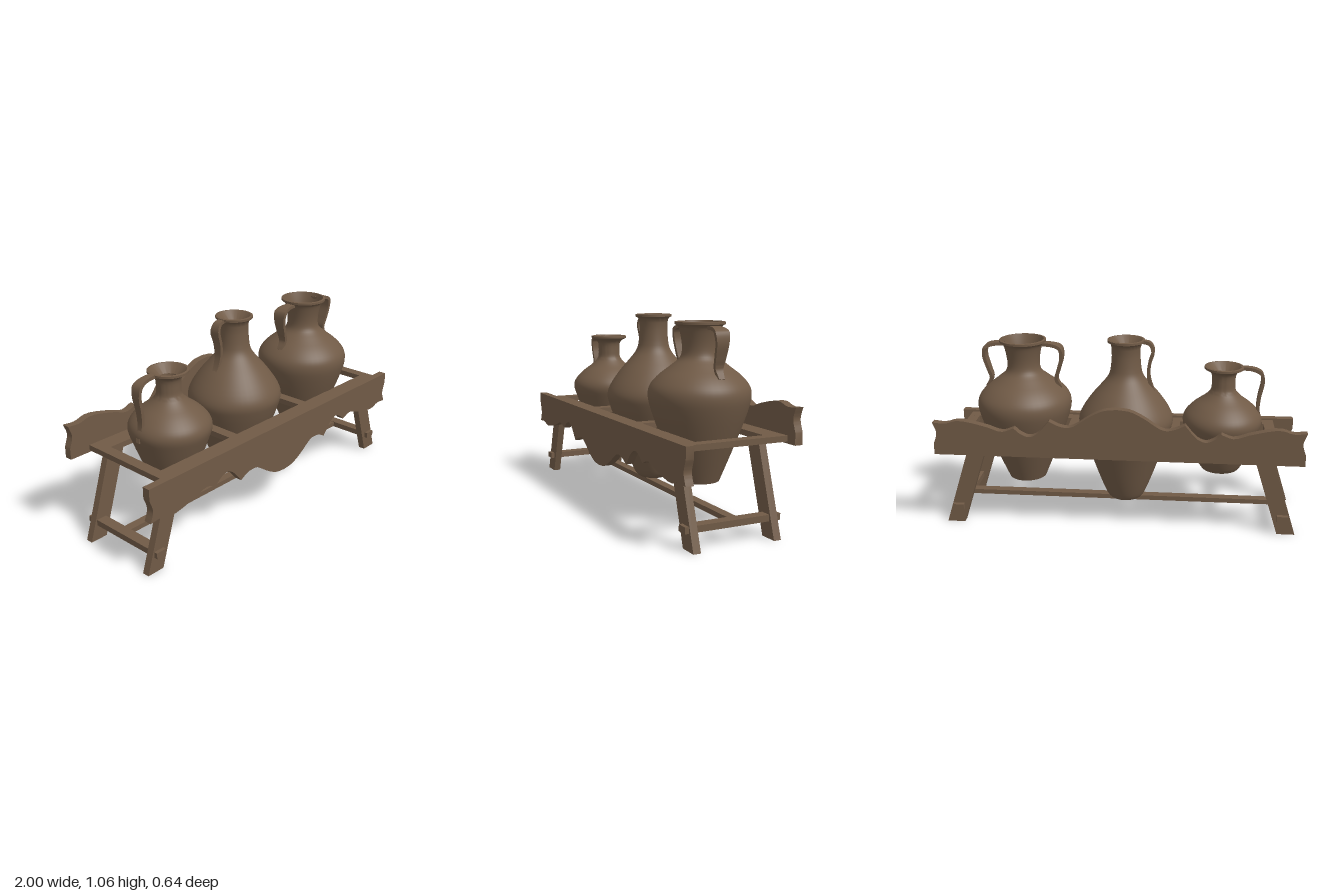
import * as THREE from 'three';
import { toCreasedNormals } from 'three/addons/utils/BufferGeometryUtils.js';

const brown = new THREE.MeshStandardMaterial({ color: 0x705a46 });
brown.name = 'earth brown';

function add(group, name, geometry) {
  const mesh = new THREE.Mesh(geometry, brown);
  mesh.name = name;
  group.add(mesh);
  return mesh;
}

// Box given by its limits on each axis
function bar(group, name, x0, x1, y0, y1, z0, z1) {
  const g = new THREE.BoxGeometry(x1 - x0, y1 - y0, z1 - z0);
  g.translate((x0 + x1) / 2, (y0 + y1) / 2, (z0 + z1) / 2);
  add(group, name, g);
}

// Smooth curve through [x, y] points
function curveThrough(points) {
  return new THREE.CatmullRomCurve3(points.map(([x, y]) => new THREE.Vector3(x, y, 0)));
}

function smooth(points, n) {
  return curveThrough(points).getPoints(n).map(p => new THREE.Vector2(p.x, p.y));
}

// Board with a straight top, scalloped ends and a scalloped lower edge
function boardGeometry() {
  const belly = [[0, 0.223], [0.07, 0.232], [0.14, 0.265], [0.25, 0.332], [0.31, 0.325], [0.363, 0.3]];
  const arch = [[0.363, 0.3], [0.43, 0.375], [0.475, 0.392], [0.52, 0.375], [0.555, 0.345]];
  const wave = [[0.555, 0.345], [0.62, 0.367], [0.71, 0.34], [0.86, 0.312], [0.93, 0.33], [1, 0.325]];
  const end = [[1, 0.325], [0.981, 0.385], [1, 0.45]];
  const right = [belly, arch, wave, end].flatMap(run => smooth(run, 16).slice(0, -1));
  right.push(new THREE.Vector2(1, 0.45), new THREE.Vector2(1, 0.51));
  const left = right.slice(1).reverse().map(p => new THREE.Vector2(-p.x, p.y));
  const g = new THREE.ExtrudeGeometry(new THREE.Shape([...right, ...left]), { depth: 0.043, bevelEnabled: false });
  g.translate(0, 0, 0.276);
  return toCreasedNormals(g, 0.5);
}

// Leg leaning inwards; side is +1 or -1
function leg(group, side, z0, z1) {
  const g = new THREE.BoxGeometry(0.1, 0.47, z1 - z0);
  g.translate(0, 0.235, (z0 + z1) / 2);
  const p = g.attributes.position;
  for (let i = 0; i < p.count; i++) p.setX(i, p.getX(i) + side * (0.94 - 0.322 * p.getY(i)));
  g.computeVertexNormals();
  add(group, 'leg', g);
}

// Flat strap swept along a path, its width swelling near the top bend and tapering to the foot
function strapGeometry(path, width) {
  const curve = curveThrough(path), n = 32, thick = 0.018, pos = [], idx = [];
  for (let i = 0; i <= n; i++) {
    const t = i / n, c = curve.getPoint(t), d = curve.getTangent(t);
    const swell = t < 0.35 ? 0.55 + 0.45 * t / 0.35 : 1 - 0.6 * (t - 0.35) / 0.65;
    for (const [a, b] of [[1, 1], [1, -1], [-1, -1], [-1, 1]]) {
      pos.push(c.x - d.y * a * thick / 2, c.y + d.x * a * thick / 2, b * swell * width / 2);
    }
    if (i === n) break;
    for (let s = 0; s < 4; s++) {
      const p = i * 4 + s, q = i * 4 + (s + 1) % 4;
      idx.push(p, p + 4, q, q, p + 4, q + 4);
    }
  }
  const e = n * 4;
  idx.push(0, 1, 2, 0, 2, 3, e, e + 2, e + 1, e, e + 3, e + 2);
  const g = new THREE.BufferGeometry();
  g.setAttribute('position', new THREE.Float32BufferAttribute(pos, 3));
  g.setIndex(idx);
  return toCreasedNormals(g, 0.7);
}

// Turned jar: smooth outside from foot to lip, a flat lip, then a funnel down to the inner floor
function makeJar(group, name, x, z, body, throat, floorY) {
  const jar = new THREE.Group();
  jar.name = name;
  jar.position.set(x, 0, z);
  const [lipR, lipY] = body[body.length - 1];
  const points = [
    new THREE.Vector2(0, body[0][1]),
    ...smooth(body, 40),
    new THREE.Vector2(lipR, lipY + 0.012),
    new THREE.Vector2(lipR - 0.012, lipY + 0.014),
    new THREE.Vector2(throat * 1.4, lipY - 0.03),
    new THREE.Vector2(throat, floorY),
    new THREE.Vector2(0, floorY),
  ];
  add(jar, 'jarBody', toCreasedNormals(new THREE.LatheGeometry(points, 48), 0.6));
  group.add(jar);
  return jar;
}

export function createModel() {
  const model = new THREE.Group();
  model.name = 'jarStand';

  // Scalloped boards, the back one turned upside down
  const board = boardGeometry();
  add(model, 'frontBoard', board);
  const back = add(model, 'backBoard', board);
  back.rotation.x = Math.PI;
  back.position.y = 0.97;

  // Shelf frame with four crossbars
  bar(model, 'shelfBackRail', -0.88, 0.94, 0.47, 0.5, -0.277, -0.175);
  bar(model, 'shelfFrontRail', -0.88, 0.94, 0.47, 0.5, 0.205, 0.275);
  for (const x of [-0.85, -0.3, 0.29, 0.91]) {
    bar(model, 'shelfCrossbar', x - 0.03, x + 0.03, 0.47, 0.5, -0.175, 0.205);
  }

  // Legs and stretchers
  for (const side of [-1, 1]) {
    leg(model, side, 0.23, 0.27);
    leg(model, side, -0.215, -0.175);
    bar(model, 'endStretcher', side * 0.915 - 0.03, side * 0.915 + 0.03, 0.086, 0.119, -0.24, 0.29);
  }
  bar(model, 'longStretcher', -0.89, 0.89, 0.09, 0.117, -0.025, 0.025);

  // Small jug
  const smallBody = [[0.105, 0.305], [0.125, 0.335], [0.203, 0.53], [0.221, 0.595], [0.21, 0.635],
    [0.165, 0.685], [0.1, 0.735], [0.07, 0.77], [0.065, 0.81], [0.072, 0.87], [0.108, 0.893]];
  const smallHandle = [[-0.09, 0.898], [-0.16, 0.893], [-0.205, 0.87], [-0.214, 0.82],
    [-0.2, 0.74], [-0.196, 0.66], [-0.218, 0.57]];
  const small = makeJar(model, 'smallJug', -0.567, 0.007, smallBody, 0.036, 0.75);
  add(small, 'handle', strapGeometry(smallHandle, 0.06));

  // Tall jug
  const tallBody = [[0.07, 0.12], [0.095, 0.135], [0.122, 0.185], [0.215, 0.44], [0.252, 0.545], [0.264, 0.6],
    [0.25, 0.65], [0.19, 0.74], [0.13, 0.81], [0.1, 0.85], [0.086, 0.89], [0.084, 1.03], [0.103, 1.044]];
  const tallHandle = [[-0.09, 1.045], [-0.13, 1.035], [-0.148, 0.995], [-0.13, 0.925],
    [-0.126, 0.85], [-0.15, 0.775], [-0.185, 0.73]];
  const tall = makeJar(model, 'tallJug', -0.028, -0.035, tallBody, 0.032, 0.87);
  add(tall, 'handle', strapGeometry(tallHandle, 0.06));

  // Jar with a handle on each side
  const wideBody = [[0.106, 0.225], [0.177, 0.4], [0.25, 0.6], [0.264, 0.67], [0.255, 0.715],
    [0.215, 0.765], [0.145, 0.82], [0.1, 0.86], [0.09, 0.9], [0.1, 0.98], [0.113, 1.016], [0.129, 1.026]];
  const wideHandle = [[-0.105, 1.012], [-0.165, 1.01], [-0.208, 0.993], [-0.217, 0.945],
    [-0.198, 0.87], [-0.184, 0.815], [-0.21, 0.765]];
  const wide = makeJar(model, 'twoHandledJar', 0.55, -0.007, wideBody, 0.072, 0.87);
  for (const turn of [0, Math.PI]) {
    add(wide, 'handle', strapGeometry(wideHandle, 0.08)).rotation.y = turn;
  }
  return model;
}
